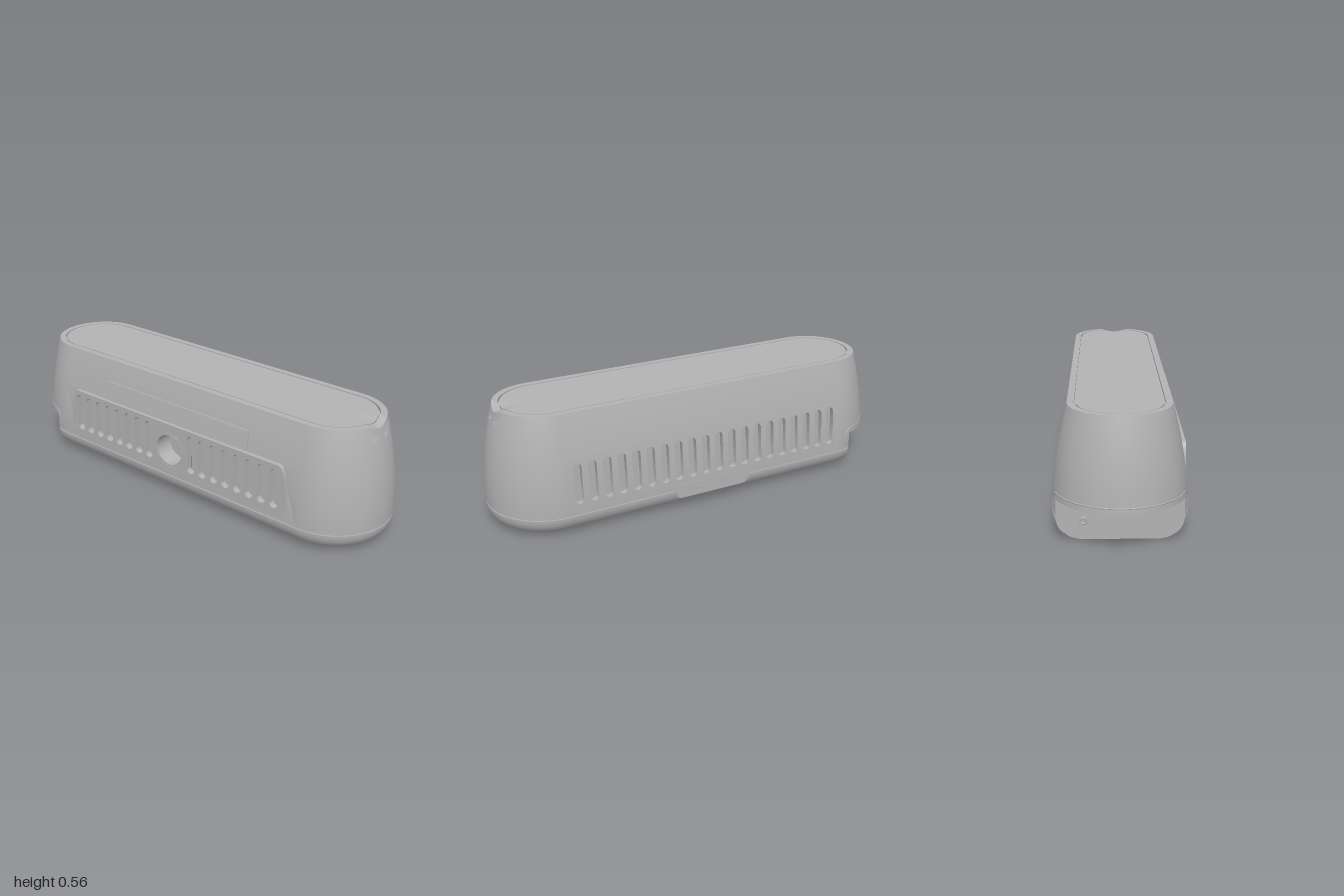
import * as THREE from 'three';
import { toCreasedNormals } from 'three/addons/utils/BufferGeometryUtils.js';

const HALF = 0.72;      // half length of the straight sides
const CUT = -0.8;       // plane of the notch at the right end
const NOTCH_TOP = 0.18;
const SEAM = 0.1, MID = 0.36, TOP = 0.558;

// radius of the upper shell at a height
const radius = y => 0.277 - 0.305 * Math.pow(Math.max(0, y - 0.13), 1.85);

// outline points of one rounded end: side 1 = +x, -1 = -x
function endArc(side, r, clip) {
  const pts = [], n = 48, start = side > 0 ? -Math.PI / 2 : Math.PI / 2;
  for (let i = 0; i <= n; i++) {
    const a = start + Math.PI * i / n;
    const x = side * HALF + r * Math.cos(a);
    pts.push([clip ? Math.max(x, CUT) : x, r * Math.sin(a)]);
  }
  return pts;
}

// skin a stack of rows [y, r, clip] over the given ends
function loft(rows, sides, closed) {
  const pos = [], idx = [];
  let count = 0;
  for (const [y, r, clip] of rows) {
    const pts = sides.flatMap(s => endArc(s, r, clip));
    count = pts.length;
    for (const [x, z] of pts) {
      // finger scoop in the top rim
      const d = Math.hypot(x - 0.955, z);
      const dip = y > 0.5 ? 0.03 * Math.max(0, 1 - d / 0.08) : 0;
      pos.push(x, y - dip, z);
    }
  }
  for (let i = 0; i < rows.length - 1; i++) {
    for (let j = 0; j < (closed ? count : count - 1); j++) {
      const k = (j + 1) % count, a = i * count + j, b = a + count;
      const c = i * count + k, d = c + count;
      idx.push(a, b, c, c, b, d);
    }
  }
  const g = new THREE.BufferGeometry();
  g.setAttribute('position', new THREE.Float32BufferAttribute(pos, 3));
  g.setIndex(idx);
  return toCreasedNormals(g, 0.5);
}

function polygon(points, Type = THREE.Shape) {
  return new Type(points.map(p => new THREE.Vector2(p[0], p[1])));
}

function rectangle(x, y0, y1, Type, steps = 8) {
  const pts = [];
  for (let i = 0; i <= steps; i++) pts.push([x, y0 + (y1 - y0) * i / steps]);
  for (let i = steps; i >= 0; i--) pts.push([-x, y0 + (y1 - y0) * i / steps]);
  return polygon(pts, Type);
}

// upright slot or lying pill, with rounded ends
function capsule(cx, cy, w, h, Type = THREE.Path) {
  const r = Math.min(w, h) / 2, pts = [];
  const dx = w / 2 - r, dy = h / 2 - r;
  for (let q = 0; q < 4; q++) {
    const sx = q === 0 || q === 3 ? 1 : -1, sy = q < 2 ? 1 : -1;
    for (let i = 0; i < 6; i++) {
      const a = (q + i / 6 + 1 / 12) * Math.PI / 2;
      pts.push([cx + sx * dx + r * Math.cos(a), cy + sy * dy + r * Math.sin(a)]);
    }
  }
  return polygon(pts, Type);
}

const circle = (x, y, r, Type = THREE.Path) => {
  const p = new Type();
  p.absarc(x, y, r, 0, Math.PI * 2, false);
  return p;
};

const slab = (shape, depth, front) =>
  new THREE.ExtrudeGeometry(shape, { depth, bevelEnabled: false, curveSegments: 24 })
    .translate(0, 0, front - depth);

// slab that follows the curve of the shell
function bentSlab(shape, depth, lift) {
  const g = slab(shape, depth, lift), p = g.attributes.position;
  for (let i = 0; i < p.count; i++) p.setZ(i, p.getZ(i) + radius(p.getY(i)));
  return toCreasedNormals(g, 0.5);
}

export function createModel() {
  const group = new THREE.Group();
  const grey = new THREE.MeshStandardMaterial({ color: 0xb2b2b2 });
  grey.name = 'satin grey';
  const add = (name, geometry) => {
    const mesh = new THREE.Mesh(geometry, grey);
    mesh.name = name;
    group.add(mesh);
    return mesh;
  };

  // rounded base, ending in the seam groove
  const base = [];
  for (let i = 0; i <= 12; i++) {
    const a = i / 12 * Math.PI / 2;
    base.push([0.095 * (1 - Math.cos(a)), 0.172 + 0.105 * Math.sin(a), true]);
  }
  base.push([0.095, 0.271, true], [SEAM, 0.271, true], [SEAM, 0.277, true]);
  add('base', loft(base, [1, -1], true));

  // underside with two screw holes
  const floor = polygon([1, -1].flatMap(s => endArc(s, 0.172, true)));
  for (const x of [-0.5, 0.5]) floor.holes.push(circle(x, 0, 0.026));
  add('underside', new THREE.ShapeGeometry(floor).rotateX(Math.PI / 2));

  // rounded ends of the shell; the right one steps out above the notch
  const lower = [];
  for (let i = 0; i <= 4; i++) lower.push([SEAM + (NOTCH_TOP - SEAM) * i / 4, true]);
  for (let i = 0; i <= 6; i++) lower.push([NOTCH_TOP + (MID - NOTCH_TOP) * i / 6, false]);
  const lowerRows = lower.map(([y, clip]) => [y, radius(y), clip]);
  add('leftEnd', loft(lowerRows, [1], false));
  add('rightEnd', loft(lowerRows, [-1], false));

  // upper shell, rim, groove and lid
  const upper = [];
  for (let i = 0; i <= 10; i++) {
    const y = MID + (TOP - MID) * i / 10;
    upper.push([y, radius(y)]);
  }
  upper.push([TOP, 0.198], [TOP, 0.185], [TOP - 0.012, 0.185], [TOP - 0.012, 0.178],
    [TOP - 0.001, 0.178], [TOP - 0.001, 0.1], [TOP - 0.001, 0]);
  add('upperShell', loft(upper, [1, -1], true));

  // back wall with a row of vents
  const backWall = rectangle(HALF, SEAM, MID);
  for (let i = 0; i < 20; i++) backWall.holes.push(capsule((i - 9.5) * 0.07, 0.245, 0.042, 0.19));
  add('backWall', bentSlab(backWall, 0.025, 0).rotateY(Math.PI));
  add('backVentFloor', new THREE.BoxGeometry(1.42, 0.24, 0.02).translate(0, 0.24, -0.222));

  // front wall, opened behind the grille
  const frontWall = rectangle(HALF, SEAM, MID);
  frontWall.holes.push(rectangle(0.64, 0.13, 0.345, THREE.Path));
  add('frontWall', bentSlab(frontWall, 0.025, 0));

  // flat front grille with vents either side of the round port
  const grille = new THREE.Shape();
  grille.moveTo(-0.675, SEAM);
  grille.lineTo(0.675, SEAM);
  grille.lineTo(0.665, 0.24);
  grille.quadraticCurveTo(0.655, 0.363, 0.62, 0.363);
  grille.lineTo(-0.62, 0.363);
  grille.quadraticCurveTo(-0.655, 0.363, -0.665, 0.24);
  for (const s of [-1, 1]) {
    for (let i = 0; i < 8; i++) {
      grille.holes.push(capsule(s * (0.132 + i * 0.0673), 0.245, 0.045, 0.19));
    }
    add('frontVentFloor', new THREE.BoxGeometry(0.56, 0.24, 0.02).translate(s * 0.38, 0.24, 0.222));
  }
  grille.holes.push(circle(0, 0.232, 0.078));
  add('frontGrille', slab(grille, 0.03, 0.2765));

  // round port: arched frame, ring and hollow cup
  const arch = new THREE.Shape();
  arch.moveTo(-0.097, SEAM);
  arch.lineTo(0.097, SEAM);
  arch.lineTo(0.097, 0.225);
  arch.absarc(0, 0.225, 0.097, 0, Math.PI, false);
  arch.holes.push(circle(0, 0.232, 0.085));
  add('portFrame', slab(arch, 0.006, 0.278));
  const ring = circle(0, 0.232, 0.082, THREE.Shape);
  ring.holes.push(circle(0, 0.232, 0.075));
  add('portRing', slab(ring, 0.02, 0.278));
  const cup = new THREE.LatheGeometry(
    [[0.077, 0], [0.077, -0.08], [0, -0.08]].map(p => new THREE.Vector2(...p)), 40);
  add('portCup', toCreasedNormals(cup, 0.5).rotateX(Math.PI / 2).translate(0, 0.232, 0.268));

  // shallow cover strip above the grille
  add('coverStrip', bentSlab(rectangle(0.44, 0.365, 0.455), 0.009, 0.006));

  // latch plate across the back seam
  const latch = capsule(0, 0.09, 0.39, 0.07, THREE.Shape);
  latch.holes.push(circle(-0.08, 0.09, 0.01));
  add('backLatch', slab(latch, 0.03, 0.279).rotateY(Math.PI));

  // raised lip round the notch
  const side = [[-0.77, 0.102], [-0.77, 0.165], [-0.78, 0.19], [-0.8, 0.203]].map(([x, y]) =>
    new THREE.Vector3(x, y, Math.sqrt(radius(y) ** 2 - (x + HALF) ** 2)));
  const bend = [], r = radius(0.206);
  for (let a = 114; a <= 246; a += 6) {
    const t = a * Math.PI / 180;
    bend.push(new THREE.Vector3(-HALF + r * Math.cos(t), 0.206, r * Math.sin(t)));
  }
  const mirrored = side.map(p => new THREE.Vector3(p.x, p.y, -p.z)).reverse();
  const lipPath = new THREE.CatmullRomCurve3([...side, ...bend, ...mirrored]);
  add('notchLip', new THREE.TubeGeometry(lipPath, 120, 0.004, 6).translate(0.002, 0, 0));

  // small socket on the notch wall
  add('notchSocket', new THREE.TorusGeometry(0.014, 0.004, 8, 20)
    .rotateY(Math.PI / 2).translate(CUT, 0.08, -0.15));

  return group;
}
